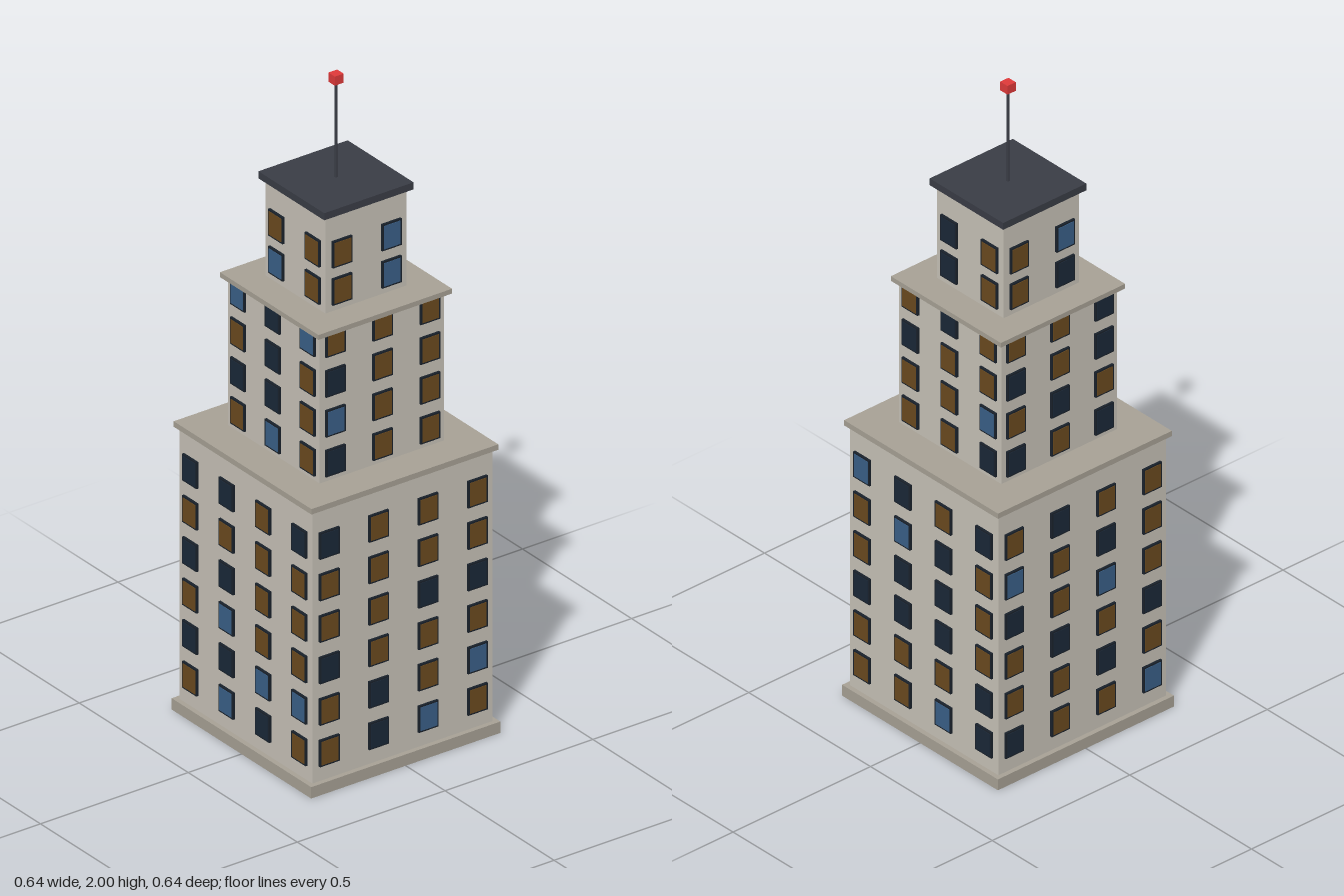
import * as THREE from 'three';

const mat = (color) => new THREE.MeshStandardMaterial({ color });

export function createModel() {
  const model = new THREE.Group();
  model.name = 'tower';
  const wall = mat(0xc8c3b8), trim = mat(0xa8a296), roofMat = mat(0x3a3d46);
  const frameMat = mat(0x1a222c), red = mat(0xe03a3a);
  const glass = { A: mat(0x6b4a1f), B: mat(0x3a6088), D: mat(0x1a2838) };

  // Box resting on a given height
  function block(name, width, bottom, top, material) {
    const mesh = new THREE.Mesh(new THREE.BoxGeometry(width, top - bottom, width), material);
    mesh.name = name;
    mesh.position.y = (top + bottom) / 2;
    model.add(mesh);
  }

  const frameGeo = new THREE.BoxGeometry(0.066, 0.082, 0.014);
  const paneGeo = new THREE.BoxGeometry(0.056, 0.072, 0.014);

  // Rows of framed windows on one face; rows run bottom to top, letters left to right
  function windows(name, rows, half, firstY, stepY, stepX, angle) {
    const side = new THREE.Group();
    side.name = name;
    side.rotation.y = angle;
    rows.forEach((row, r) => [...row].forEach((tint, c) => {
      const x = (c - (row.length - 1) / 2) * stepX;
      const y = firstY + r * stepY;
      const frame = new THREE.Mesh(frameGeo, frameMat);
      frame.name = 'windowFrame';
      frame.position.set(x, y, half);
      const pane = new THREE.Mesh(paneGeo, glass[tint]);
      pane.name = 'windowPane';
      pane.position.set(x, y, half + 0.0015);
      side.add(frame, pane);
    }));
    model.add(side);
  }

  // Stepped storeys, with window tints for front, +x side, back and -x side
  const tiers = [
    {
      name: 'lower', half: 0.305, bottom: 0.035, top: 0.875, firstY: 0.122, stepY: 0.128, stepX: 0.167,
      faces: [
        ['ABDA', 'DDBB', 'ABAA', 'DDAA', 'AAAA', 'DDAD'],
        ['ADBA', 'ADAB', 'DAAA', 'AADD', 'AAAA', 'DAAA'],
        ['AABD', 'AAAD', 'DDDA', 'ADDA', 'ABDA', 'BDAD'],
        ['DAAB', 'AADA', 'ADAD', 'DABA', 'BADA', 'ADAA'],
      ],
    },
    {
      name: 'middle', half: 0.21, bottom: 0.89, top: 1.345, firstY: 0.947, stepY: 0.1228, stepX: 0.16,
      faces: [
        ['ABA', 'DDA', 'ADA', 'BDB'],
        ['DAA', 'BAA', 'DAA', 'AAA'],
        ['AAD', 'AAB', 'DAA', 'ADA'],
        ['DAD', 'ADA', 'DAD', 'AAD'],
      ],
    },
    {
      name: 'upper', half: 0.137, bottom: 1.36, top: 1.66, firstY: 1.421, stepY: 0.115, stepX: 0.167,
      faces: [['BA', 'AA'], ['AB', 'AB'], ['DA', 'DA'], ['AD', 'AB']],
    },
  ];
  const faceNames = ['Front', 'Left', 'Back', 'Right'];
  for (const t of tiers) {
    block(t.name + 'Walls', t.half * 2, t.bottom, t.top, wall);
    t.faces.forEach((rows, i) => windows(
      t.name + faceNames[i] + 'Windows', rows, t.half, t.firstY, t.stepY, t.stepX, i * Math.PI / 2));
  }

  // Plinth, ledges and roof slab
  block('plinth', 0.64, 0, 0.035, trim);
  block('lowerLedge', 0.632, 0.873, 0.89, trim);
  block('middleLedge', 0.452, 1.345, 1.36, trim);
  block('roof', 0.302, 1.658, 1.68, roofMat);

  // Antenna and its beacon
  const antenna = new THREE.Mesh(new THREE.CylinderGeometry(0.004, 0.004, 0.3, 8), roofMat);
  antenna.name = 'antenna';
  antenna.position.y = 1.825;
  model.add(antenna);
  block('beacon', 0.03, 1.972, 2, red);

  return model;
}
